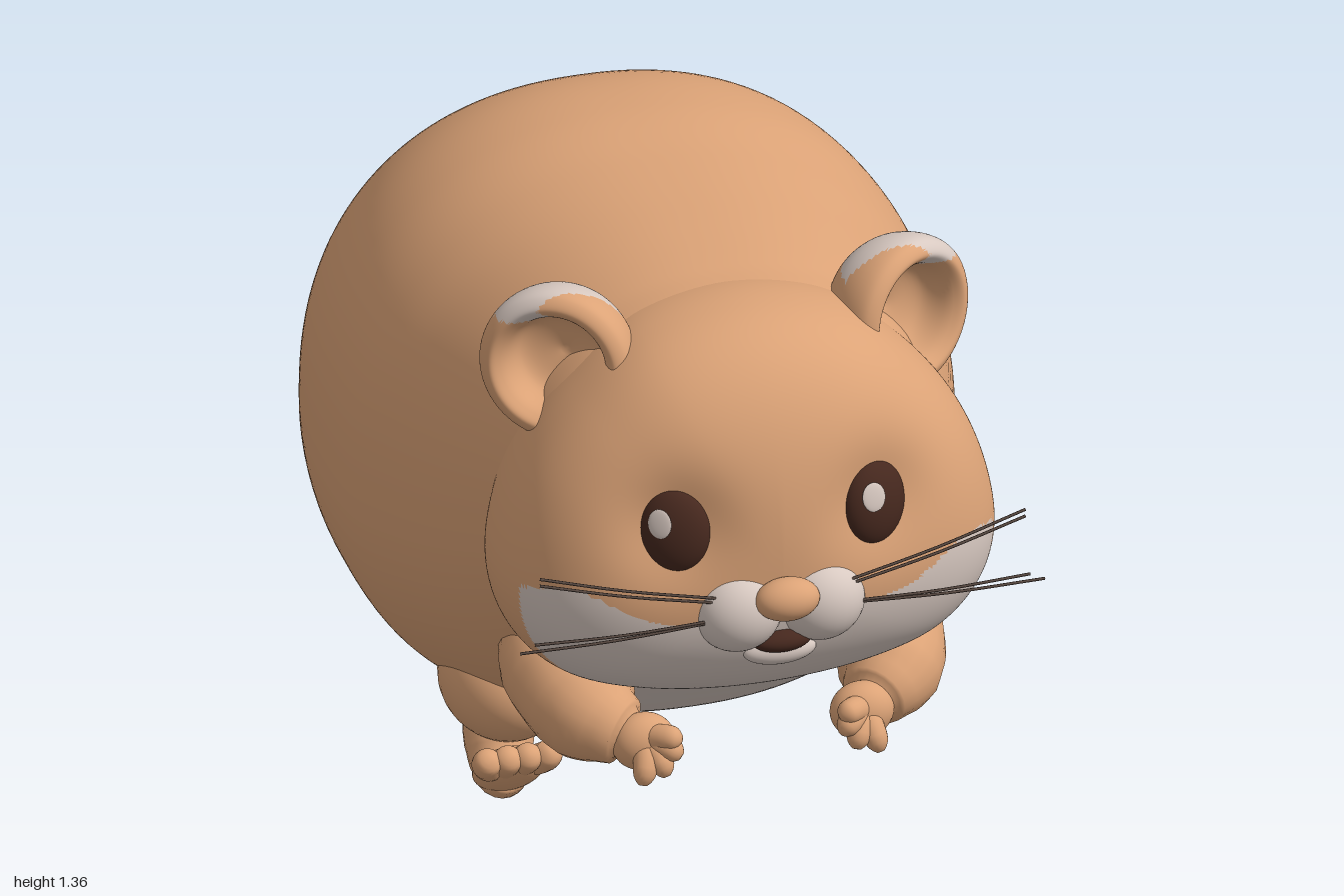
import * as THREE from 'three';

const V = (x, y, z) => new THREE.Vector3(x, y, z);
const mat = (name, color, side = THREE.FrontSide) => {
  const m = new THREE.MeshStandardMaterial({ color, side });
  m.name = name;
  return m;
};

export function createModel() {
  const model = new THREE.Group();
  const tan = mat('tan fur', 0xdca377);
  const cream = mat('cream fur', 0xd8c9c1);
  const dark = mat('dark brown', 0x46281e);
  const gray = mat('whisker gray', 0x5c4c44);

  function add(name, geometry, material, parent = model) {
    const m = new THREE.Mesh(geometry, material);
    m.name = name;
    parent.add(m);
    return m;
  }

  // Closed skin: u runs round, v runs along; the mask picks cream faces
  function skin(nu, nv, fn, mask) {
    const pos = [], pts = [], faces = [[], []];
    for (let j = 0; j <= nv; j++) for (let i = 0; i < nu; i++) {
      const p = fn(i / nu, j / nv);
      pts.push(p);
      pos.push(p.x, p.y, p.z);
    }
    const tri = (a, b, c) => {
      const mid = pts[a].clone().add(pts[b]).add(pts[c]).divideScalar(3);
      faces[mask && mask(mid) ? 1 : 0].push(a, b, c);
    };
    for (let j = 0; j < nv; j++) for (let i = 0; i < nu; i++) {
      const k = (i + 1) % nu, a = j * nu + i, b = j * nu + k, c = a + nu, d = b + nu;
      if (j > 0) tri(a, b, d);
      if (j < nv - 1) tri(a, d, c);
    }
    const g = new THREE.BufferGeometry();
    g.setAttribute('position', new THREE.Float32BufferAttribute(pos, 3));
    g.setIndex(faces[0].concat(faces[1]));
    g.addGroup(0, faces[0].length, 0);
    g.addGroup(faces[0].length, faces[1].length, 1);
    g.computeVertexNormals();
    // Shared normals at both ends
    const n = g.attributes.normal;
    for (const start of [0, nv * nu]) {
      const s = V(0, 0, 0);
      for (let i = 0; i < nu; i++) s.add(V(n.getX(start + i), n.getY(start + i), n.getZ(start + i)));
      s.normalize();
      for (let i = 0; i < nu; i++) n.setXYZ(start + i, s.x, s.y, s.z);
    }
    return g;
  }

  // Round-ended tapering limb along a smooth path
  function limb(name, points, radii, parent = model, detail = 24) {
    const curve = new THREE.CatmullRomCurve3(points.map(p => V(...p)));
    const fr = curve.computeFrenetFrames(detail);
    return add(name, skin(20, detail, (u, v) => {
      const w = 0.5 - 0.5 * Math.cos(v * Math.PI), k = Math.round(w * detail);
      const f = w * (radii.length - 1), i = Math.min(Math.floor(f), radii.length - 2);
      const r = THREE.MathUtils.lerp(radii[i], radii[i + 1], f - i)
        * Math.sqrt(Math.max(0, 1 - Math.abs(2 * w - 1) ** 6));
      return curve.getPoint(k / detail)
        .addScaledVector(fr.normals[k], r * Math.cos(u * 2 * Math.PI))
        .addScaledVector(fr.binormals[k], r * Math.sin(u * 2 * Math.PI));
    }), tan, parent);
  }

  function ball(name, c, r, material, parent = model) {
    const m = add(name, new THREE.SphereGeometry(1, 32, 24), material, parent);
    m.position.set(...c);
    m.scale.set(...r);
    return m;
  }

  // Body sections: z, half width, top, bottom
  const rows = [[-1, 0, .53, .53], [-.985, .12, .62, .43], [-.95, .21, .71, .33], [-.88, .33, .84, .21],
    [-.77, .44, 1, .12], [-.6, .545, 1.16, .085], [-.4, .605, 1.27, .08], [-.2, .63, 1.31, .085],
    [0, .62, 1.31, .09], [.15, .58, 1.31, .145], [.3, .535, 1.31, .225], [.46, .48, 1.305, .34],
    [.6, .43, 1.29, .46], [.7, .3, 1.15, .62], [.75, 0, .9, .9]];
  const sides = new THREE.CatmullRomCurve3(rows.map(r => V(r[1], r[2], r[0])));
  const bottoms = new THREE.CatmullRomCurve3(rows.map(r => V(0, r[3], r[0])));
  const pw = (c, e) => Math.sign(c) * Math.abs(c) ** e;
  const belly = p => p.z > .1 && p.y < .56 && (p.y > .33
    ? Math.abs(p.x) < .3
    : (Math.abs(p.x) / .3) ** 3.5 + ((.33 - p.y) / .17) ** 3.5 < 1);
  add('body', skin(140, 120, (u, v) => {
    const a = u * Math.PI * 2, s = sides.getPoint(v), low = bottoms.getPoint(v).y;
    const cy = THREE.MathUtils.lerp(low, s.y, .45), q = pw(Math.sin(a), 2 / 2.25);
    return V(Math.max(0, s.x) * pw(Math.cos(a), 2 / 2.25), cy + (q > 0 ? s.y - cy : cy - low) * q, s.z);
  }, belly), [tan, cream]);

  // Head: a pear outline domed forward, with shallow eye sockets
  const half = [[.2, 1.28], [.34, 1.17], [.44, 1.04], [.495, .9], [.51, .77], [.48, .67], [.4, .585], [.25, .53]];
  const outline = new THREE.CatmullRomCurve3([[0, 1.32], ...half.map(([x, y]) => [-x, y]), [0, .505],
    ...half.slice().reverse()].map(p => V(p[0], p[1], 0)), true);
  const faceMask = p => {
    const x = Math.abs(p.x);
    if (p.y > .77 + .07 * Math.exp(-(((x - .41) / .11) ** 2))) return false;
    return p.z > .735 || (p.y < .56 && x < .25 && p.z > .5);
  };
  add('head', skin(180, 130, (u, v) => {
    const o = outline.getPoint(u), b = (v - .5) * Math.PI;
    const e = b > 0 ? 2 / 2.3 : 1, t = Math.cos(b) ** e;
    const p = V(o.x * t, .85 + (o.y - .85) * t, .62 + pw(Math.sin(b), e) * (b > 0 ? .31 : .42));
    if (b > 0) {
      const d2 = (Math.abs(p.x) - .215) ** 2 + (p.y - .975) ** 2;
      p.z -= .04 * Math.exp(-d2 / .012);
    }
    return p;
  }, faceMask), [tan, cream]);

  // Nose and mouth
  ball('nose', [0, .825, .955], [.066, .044, .045], tan);
  ball('mouth', [0, .712, .915], [.06, .024, .03], dark);
  ball('lowerLip', [0, .682, .9], [.075, .03, .03], cream);

  // Ear cup profile: radius, depth, from the back over the rim into the hollow
  const cup = new THREE.CatmullRomCurve3([[0, -.13], [.08, -.118], [.135, -.065], [.157, 0], [.152, .042],
    [.128, .058], [.108, .04], [.08, -.02], [0, -.05]].map(p => V(p[0], p[1], 0)));

  for (const s of [1, -1]) {
    const side = s > 0 ? 'left' : 'right';
    const tilt = new THREE.Euler(-.08, s * .55, 0);
    add(side + 'Ear', skin(72, 64, (u, v) => {
      const c = cup.getPoint(v), a = u * Math.PI * 2, r = Math.max(0, c.x);
      return V(r * Math.cos(a), r * Math.sin(a) * 1.02, c.y).applyEuler(tilt).add(V(s * .35, 1.205, .55));
    }, p => p.y > 1.3 && p.z < .575), [tan, cream]);

    // Eye with a thin highlight on its surface
    const eye = new THREE.Group();
    eye.name = side + 'Eye';
    eye.position.set(s * .205, .962, .858);
    eye.rotation.set(-.15, s * .42, 0);
    model.add(eye);
    ball(side + 'Eyeball', [0, 0, 0], [.073, .09, .042], dark, eye);
    const hx = s > 0 ? -.028 : -.022;
    ball(side + 'EyeHighlight', [hx, .026, .037], [.025, .03, .0045], cream, eye).rotation.set(-.12, -.25, 0);

    ball(side + 'Muzzle', [s * .085, .783, .895], [.09, .087, .076], cream);

    // Whiskers in close pairs
    const tips = [[.5, .93, .835], [.5, .915, .825], [.54, .767, .782], [.51, .782, .785]];
    tips.forEach(([x, y, y0], i) => {
      const path = new THREE.CatmullRomCurve3([V(s * .14, y0, .93),
        V(s * (.14 + x) / 2, (y + y0) / 2 - .004, .928), V(s * x, y, .92)]);
      add(side + 'Whisker' + (i + 1), new THREE.TubeGeometry(path, 8, .0032, 5), gray);
    });

    // Arm, paw and fingers
    const arm = new THREE.Group();
    arm.name = side + 'Arm';
    model.add(arm);
    limb('forearm', [[s * .33, .5, .32], [s * .335, .465, .5], [s * .31, .435, .62], [s * .24, .41, .7]],
      [.1, .115, .105, .07], arm);
    ball('paw', [s * .225, .405, .71], [.065, .06, .05], tan, arm);
    [[.165, .435], [.165, .395], [.195, .355], [.245, .342]].forEach(([x, y], i) =>
      limb('finger' + (i + 1), [[s * .225, .41, .71], [s * (x + .22) / 2, (y + .41) / 2 + .01, .755], [s * x, y, .775]],
        [.03, .026, .022], arm, 14));
  }

  // Left leg, planted towards the rear
  const leg = new THREE.Group();
  leg.name = 'leftLeg';
  model.add(leg);
  limb('shin', [[.34, .26, -.5], [.385, .15, -.53], [.405, .07, -.47], [.405, .042, -.35]], [.09, .075, .055, .04], leg);
  const sole = ball('foot', [.403, .038, -.33], [.06, .036, .14], tan, leg);
  sole.rotation.y = .03;
  [.335, .38, .425, .465].forEach((x, i) => limb('toe' + (i + 1),
    [[.403 + (x - .4) * .5, .045, -.29], [x, .048, -.22], [x, .028, -.17]], [.03, .03, .025], leg, 14));

  // Right leg, stretched forward with the sole raised
  const raised = new THREE.Group();
  raised.name = 'rightLeg';
  model.add(raised);
  ball('thigh', [-.33, .235, .09], [.13, .125, .16], tan, raised);
  limb('heel', [[-.33, .17, .06], [-.35, .1, .12], [-.36, .065, .17], [-.36, .09, .22]], [.08, .07, .055, .05], raised);
  ball('foot', [-.36, .1, .225], [.072, .1, .04], tan, raised).rotation.x = .85;
  [-.425, -.383, -.342, -.3].forEach((x, i) => limb('toe' + (i + 1),
    [[-.36 + (x + .36) * .5, .11, .23], [x, .155, .29], [x, .18, .315]], [.032, .03, .026], raised, 14));

  return model;
}
